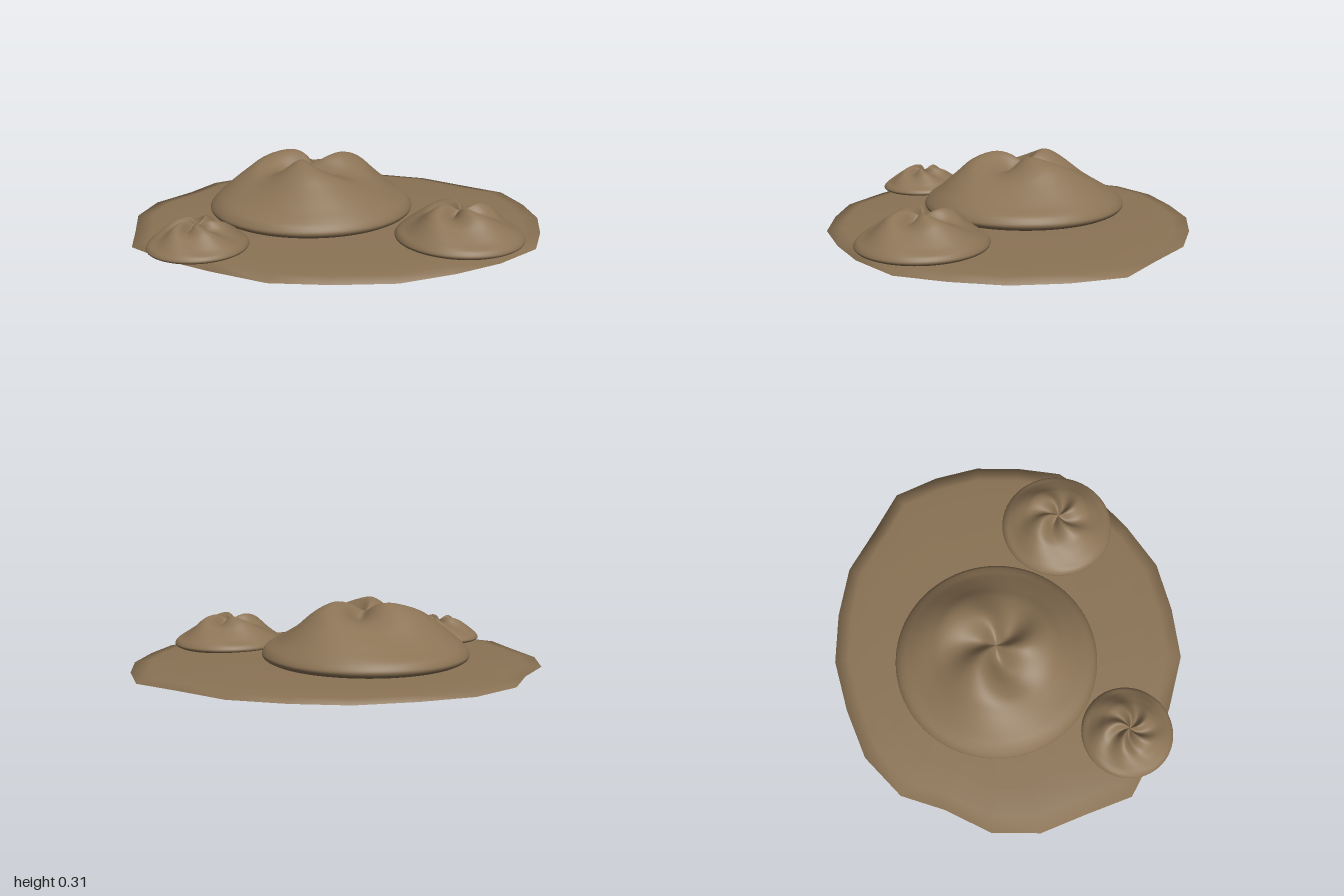
import * as THREE from 'three';

const mud = new THREE.MeshStandardMaterial({ color: 0x8b7355 });
mud.name = 'mudBrown';

// Closed, smooth surface from rings running from the top centre to the bottom centre.
function ringSurface(rows, sides, point) {
  const positions = [], index = [];
  for (let i = 0; i < rows; i++) {
    for (let j = 0; j < sides; j++) positions.push(...point(i, j));
  }
  for (let i = 0; i < rows - 1; i++) {
    for (let j = 0; j < sides; j++) {
      const k = (j + 1) % sides;
      const a = i * sides + j, b = i * sides + k;
      const c = a + sides, d = b + sides;
      index.push(a, b, c, b, d, c);
    }
  }
  const geometry = new THREE.BufferGeometry();
  geometry.setAttribute('position', new THREE.Float32BufferAttribute(positions, 3));
  geometry.setIndex(index);
  geometry.computeVertexNormals();
  return geometry;
}

// Uneven outline of the ground patch (x, z), one point every 15 degrees.
const outline = [
  [1, 0], [0.96, 0.23], [0.89, 0.45], [0.7, 0.63], [0.5, 0.75], [0.26, 0.855],
  [0, 0.875], [-0.26, 0.86], [-0.51, 0.74], [-0.7, 0.63], [-0.905, 0.46], [-0.95, 0.23],
  [-1, 0], [-0.96, -0.23], [-0.82, -0.43], [-0.72, -0.63], [-0.51, -0.78], [-0.26, -0.845],
  [0, -0.88], [0.25, -0.84], [0.5, -0.76], [0.71, -0.6], [0.905, -0.46], [0.975, -0.23],
];

function makePatch() {
  // scale of the outline, height
  const rings = [[0, 0.032], [0.5, 0.029], [0.8, 0.021], [0.92, 0.013], [1, 0.003], [0.93, 0], [0, 0]];
  return ringSurface(rings.length, outline.length, (i, j) => {
    const [scale, y] = rings[i];
    return [outline[j][0] * scale, y, outline[j][1] * scale];
  });
}

// Mound profile for radius 1: (radius, mean height, height of the swirling ridges).
const profile = new THREE.CatmullRomCurve3([
  [0, 0.45, 0], [0.06, 0.455, 0.02], [0.15, 0.46, 0.065], [0.28, 0.475, 0.08],
  [0.4, 0.465, 0.07], [0.54, 0.42, 0.055], [0.66, 0.34, 0.04], [0.76, 0.27, 0.03],
  [0.85, 0.205, 0.02], [0.91, 0.165, 0.01], [0.96, 0.125, 0], [0.99, 0.085, 0],
  [1, 0.055, 0], [0.985, 0.025, 0], [0.94, 0, 0],
].map((p) => new THREE.Vector3(...p))).getPoints(56);
profile.push(new THREE.Vector3(0.9, -0.01, 0), new THREE.Vector3(0, -0.01, 0));

// Ridges twist round the centre by `twist` radians from middle to rim.
function makeMound(radius, lobes, start) {
  const sides = 96, twist = 1.25;
  return ringSurface(profile.length, sides, (i, j) => {
    const { x: r, y: h, z: ridge } = profile[i];
    const angle = (j / sides) * Math.PI * 2;
    const wave = Math.cos(lobes * (angle - start + twist * r));
    return [
      Math.cos(angle) * r * radius,
      (h + ridge * wave) * radius,
      Math.sin(angle) * r * radius,
    ];
  });
}

export function createModel() {
  const group = new THREE.Group();
  group.name = 'mudMounds';

  const add = (name, geometry, x, y, z) => {
    const mesh = new THREE.Mesh(geometry, mud);
    mesh.name = name;
    mesh.position.set(x, y, z);
    group.add(mesh);
  };

  add('groundPatch', makePatch(), 0, 0, 0);
  add('largeMound', makeMound(0.505, 3, 0.1), -0.13, 0.03, -0.07);
  add('mediumMound', makeMound(0.292, 4, 1.7), 0.56, 0.023, 0.37);
  add('smallMound', makeMound(0.224, 5, 0.5), -0.6, 0.021, 0.5);
  return group;
}
